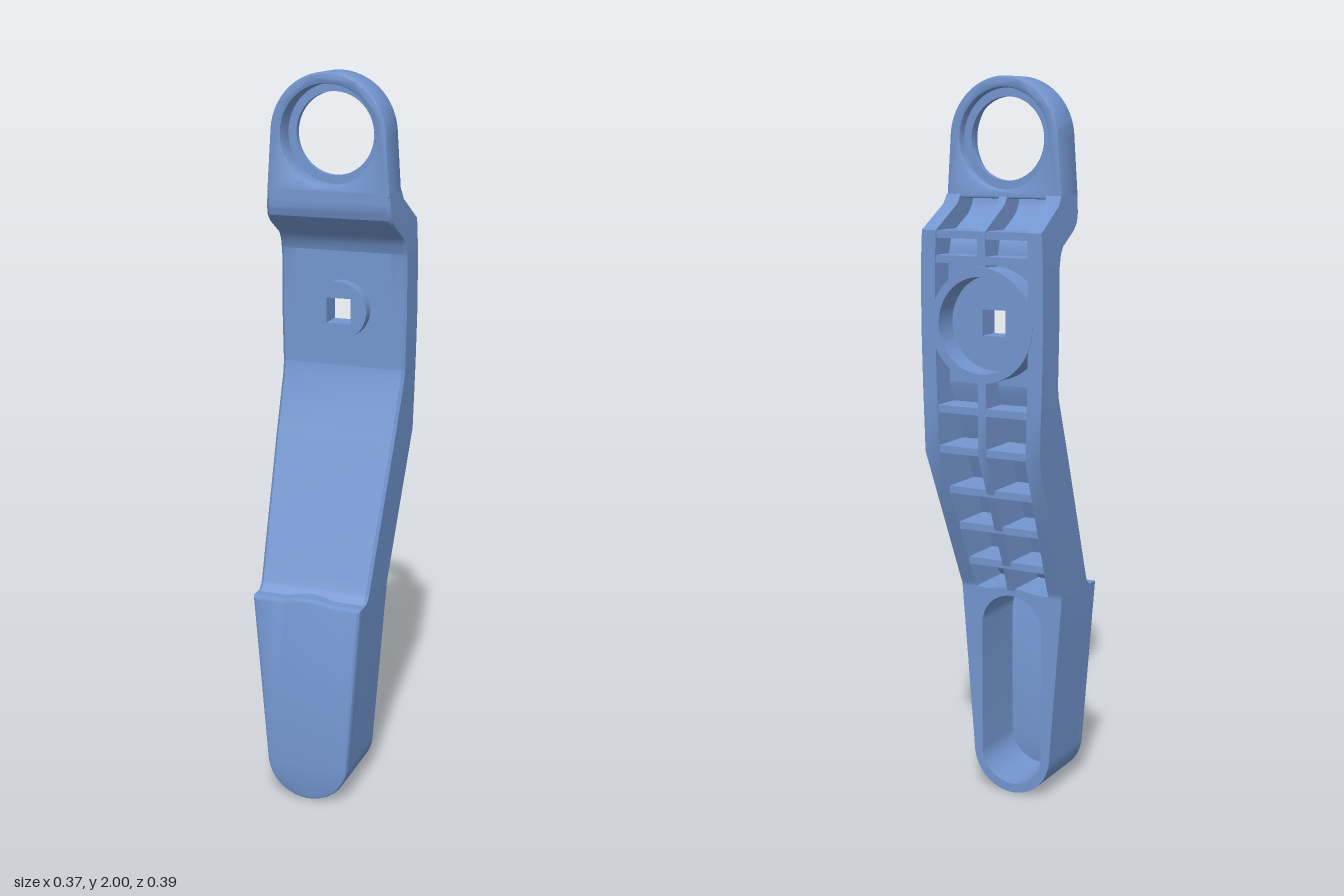
import * as THREE from 'three';
import { toCreasedNormals } from 'three/addons/utils/BufferGeometryUtils.js';

// piecewise-linear lookup through [y, value] pairs
const curve = pts => y => {
  if (y <= pts[0][0]) return pts[0][1];
  for (let i = 1; i < pts.length; i++) {
    const [y0, a] = pts[i - 1], [y1, b] = pts[i];
    if (y <= y1) return a + (b - a) * (y - y0) / (y1 - y0);
  }
  return pts[pts.length - 1][1];
};

// half width, front face and back face of the arm at each height
const width = curve([[0.11, 0.119], [0.6, 0.158], [1.0, 0.174], [1.2, 0.18], [1.36, 0.183],
  [1.52, 0.182], [1.605, 0.178], [1.84, 0.163]]);
const front = curve([[0.59, 0.16], [0.6, 0.152], [0.61, 0.14], [0.625, 0.132], [1.17, -0.085], [1.2, -0.09],
  [1.5, -0.09], [1.52, -0.087], [1.545, -0.079], [1.565, -0.065], [1.605, 0.003], [1.625, 0.022], [1.65, 0.03]]);
const back = curve([[0.6, -0.025], [1.01, -0.19], [1.605, -0.19], [1.67, -0.085], [1.695, -0.07]]);
const floor = y => Math.min(front(y), front(y - 0.035)) - 0.03;
const WALL = 0.043, EDGE = 0.008, BOSS_Y = 1.36, EYE_Y = 1.84;

// sweeps a closed (x, z) section upwards through the heights
function sweep(ys, section) {
  const pos = [];
  for (let k = 0; k < ys.length - 1; k++) {
    const lo = section(ys[k]), hi = section(ys[k + 1]);
    lo.forEach((a, i) => {
      const j = (i + 1) % lo.length, b = lo[j], c = hi[j], d = hi[i];
      const A = [a[0], ys[k], a[1]], B = [b[0], ys[k], b[1]];
      const C = [c[0], ys[k + 1], c[1]], D = [d[0], ys[k + 1], d[1]];
      pos.push(...A, ...B, ...C, ...A, ...C, ...D);
    });
  }
  const g = new THREE.BufferGeometry();
  g.setAttribute('position', new THREE.Float32BufferAttribute(pos, 3));
  return toCreasedNormals(g, 0.45);
}

// extrudes a front-view shape between two depths
function plate(shape, z0, z1, bevel = 0) {
  const g = new THREE.ExtrudeGeometry(shape, {
    depth: z1 - z0 - 2 * bevel, curveSegments: 32, bevelEnabled: bevel > 0,
    bevelThickness: bevel, bevelSize: bevel, bevelOffset: -bevel, bevelSegments: 2
  });
  g.translate(0, 0, z0 + bevel);
  return toCreasedNormals(g, 0.5);
}

const circle = (y, r) => new THREE.Path().absarc(0, y, r, 0, Math.PI * 2, true);
const disc = (y, r) => new THREE.Shape().absarc(0, y, r, 0, Math.PI * 2, false);
function ring(y, outer, inner) {
  const s = disc(y, outer);
  s.holes.push(circle(y, inner));
  return s;
}
const square = (y, h) => new THREE.Path([[-h, y - h], [-h, y + h], [h, y + h], [h, y - h]]
  .map(p => new THREE.Vector2(...p)));

// rounded handle outline with a slightly arched top
function handleShape() {
  const s = new THREE.Shape();
  s.absarc(0, 0.12, 0.12, Math.PI + 0.08, -0.08, false);
  s.lineTo(0.158, 0.597);
  s.lineTo(0.085, 0.597);
  s.bezierCurveTo(0.05, 0.598, 0.04, 0.606, 0, 0.606);
  s.bezierCurveTo(-0.04, 0.606, -0.05, 0.598, -0.085, 0.597);
  s.lineTo(-0.158, 0.597);
  s.closePath();
  return s;
}

export function createModel() {
  const model = new THREE.Group();
  model.name = 'leverArm';
  const blue = new THREE.MeshStandardMaterial({ color: 0x7396d0 });
  blue.name = 'blue';
  const add = (name, geometry) => {
    const mesh = new THREE.Mesh(geometry, blue);
    mesh.name = name;
    model.add(mesh);
    return mesh;
  };

  // handle with an oval pocket open at the back
  const body = handleShape();
  const pocket = new THREE.Path();
  pocket.absarc(0, 0.12, 0.094, 0, Math.PI, true);
  pocket.absarc(0, 0.49, 0.094, Math.PI, 0, true);
  pocket.closePath();
  body.holes.push(pocket);
  add('handleBody', plate(body, -0.025, 0.185));
  add('handleFace', plate(handleShape(), 0.155, 0.195, 0.01));

  // channel-section arm, open at the back
  const channel = y => {
    const w = width(y), i = w - WALL, f = front(y), b = back(y), l = floor(y);
    return [[-w, b], [-w, f - EDGE], [-w + EDGE, f], [w - EDGE, f], [w, f - EDGE], [w, b],
      [i, b], [i, l], [-i, l], [-i, b]];
  };
  const lowerYs = [0.59, 0.6, 0.61, 0.625, 0.66, 0.8, 1.01, 1.17, 1.2];
  const upperYs = [1.52, 1.545, 1.565, 1.58, 1.605, 1.625, 1.64, 1.65, 1.67, 1.695];
  add('lowerArm', sweep(lowerYs, channel));
  add('upperArm', sweep(upperYs, channel));

  // flat middle: two side walls and a web with a square hole
  const sideWall = side => y => {
    const w = width(y), i = w - WALL, f = front(y), b = back(y);
    const loop = [[i, b], [i, f], [w - EDGE, f], [w, f - EDGE], [w, b]];
    return side > 0 ? loop : loop.map(([x, z]) => [-x, z]).reverse();
  };
  for (const side of [1, -1])
    add(side > 0 ? 'leftWall' : 'rightWall', sweep([1.2, 1.36, 1.5, 1.52], sideWall(side)));
  const web = new THREE.Shape([[-0.14, 1.195], [0.14, 1.195], [0.14, 1.522], [-0.14, 1.522]]
    .map(p => new THREE.Vector2(...p)));
  web.holes.push(square(BOSS_Y, 0.035));
  add('middleWeb', plate(web, -0.12, -0.09));

  // front hub with square socket, and round collar behind it
  const hub = disc(BOSS_Y, 0.08);
  hub.holes.push(square(BOSS_Y, 0.035));
  add('hub', plate(hub, -0.095, -0.055));
  add('backCollar', plate(ring(BOSS_Y, 0.152, 0.128), -0.192, -0.11));

  // centre ribs
  const rib = y => [[-0.012, back(y) + 0.003], [-0.012, floor(y) + 0.005],
    [0.012, floor(y) + 0.005], [0.012, back(y) + 0.003]];
  add('lowerCentreRib', sweep([0.59, 0.66, 0.8, 1.01, 1.17, 1.22], rib));
  add('upperCentreRib', sweep([1.5, ...upperYs], rib));

  // cross ribs
  for (const y of [0.68, 0.79, 0.9, 1.02, 1.13, 1.53, 1.595]) {
    const z0 = back(y) + 0.004, z1 = floor(y) + 0.008;
    add('crossRib', new THREE.BoxGeometry(2 * (width(y) - WALL) + 0.02, 0.02, z1 - z0))
      .position.set(0, y, (z0 + z1) / 2);
  }

  // eye at the top with an inner lip
  const eye = new THREE.Shape();
  eye.moveTo(-width(1.685), 1.685);
  eye.lineTo(width(1.685), 1.685);
  eye.absarc(0, EYE_Y, 0.162, 0.04, Math.PI - 0.04, false);
  eye.closePath();
  eye.holes.push(circle(EYE_Y, 0.132));
  add('eye', plate(eye, -0.07, 0.03, 0.006));
  add('eyeLip', plate(ring(EYE_Y, 0.136, 0.109), -0.045, -0.028));

  return model;
}
